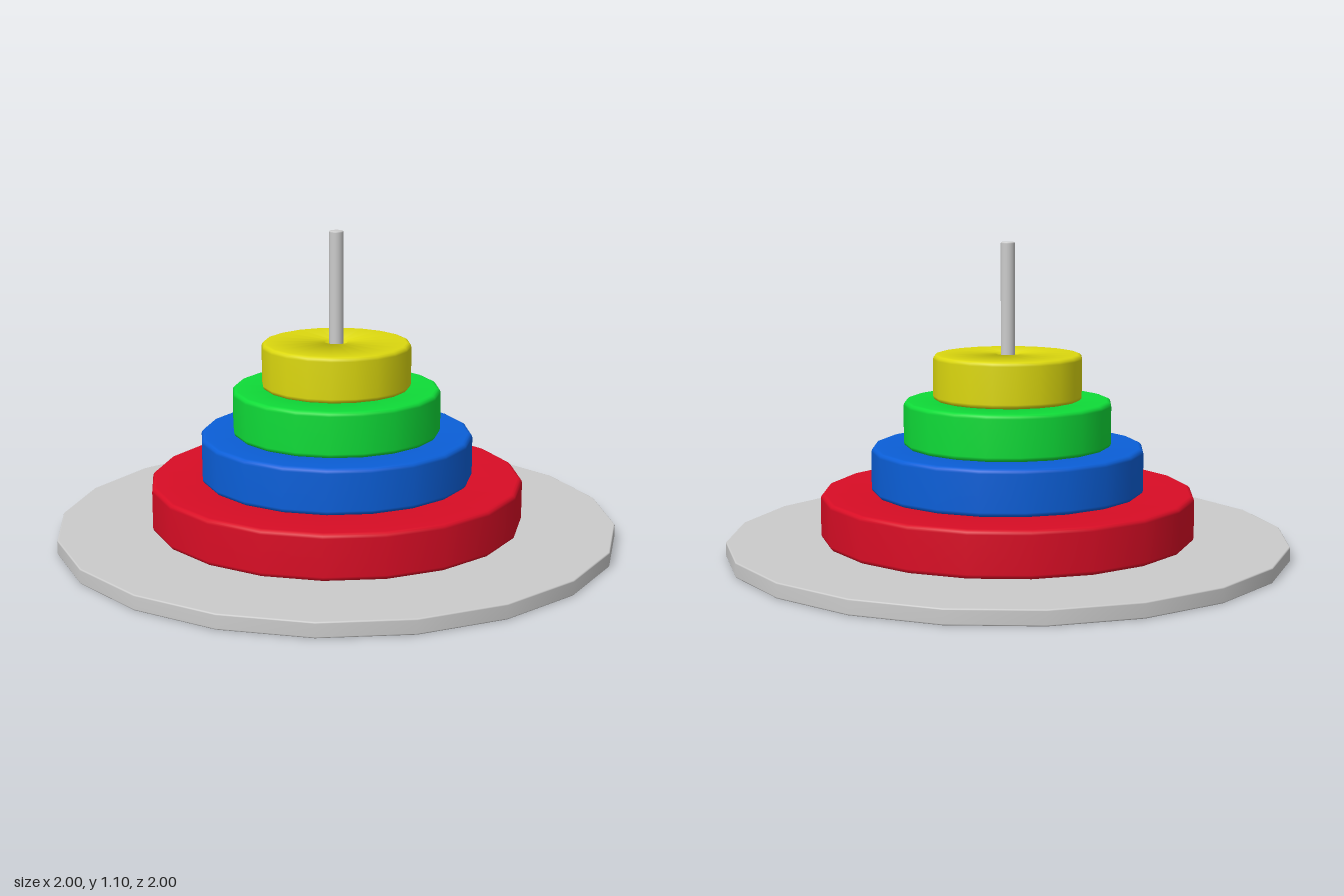
import * as THREE from 'three';

const SIDES = 20;

// Turned solid with small rounded rims; inner > 0 leaves a hole for the rod.
function turned(name, outer, inner, y0, y1, bevel, color) {
  const pts = [new THREE.Vector2(inner, y0)];
  const corner = (cy, from) => {
    for (let i = 0; i <= 3; i++) {
      const a = from + (i / 3) * Math.PI / 2;
      pts.push(new THREE.Vector2(outer - bevel + bevel * Math.cos(a), cy + bevel * Math.sin(a)));
    }
  };
  corner(y0 + bevel, -Math.PI / 2);
  corner(y1 - bevel, 0);
  pts.push(new THREE.Vector2(inner, y1));
  if (inner > 0) pts.push(new THREE.Vector2(inner, y0)); // wall of the hole
  const mesh = new THREE.Mesh(
    new THREE.LatheGeometry(pts, SIDES),
    new THREE.MeshStandardMaterial({ color })
  );
  mesh.name = name;
  return mesh;
}

export function createModel() {
  const group = new THREE.Group();
  group.name = 'stackingRings';

  // Base plate and central rod
  group.add(turned('basePlate', 1, 0, 0, 0.053, 0.005, 0xcccccc));
  group.add(turned('rod', 0.025, 0, 0.04, 1.1, 0.005, 0xcccccc));

  // Rings from largest to smallest
  const rings = [
    ['redRing', 0.665, 0xd90d25],
    ['blueRing', 0.485, 0x0b5fd8],
    ['greenRing', 0.37, 0x0fdc38],
    ['yellowRing', 0.265, 0xdcd80f],
  ];
  const bottom = 0.055, step = 0.163;
  rings.forEach(([name, radius, color], i) => {
    const y = bottom + i * step;
    group.add(turned(name, radius, 0.042, y, y + step - 0.001, 0.016, color));
  });

  return group;
}
